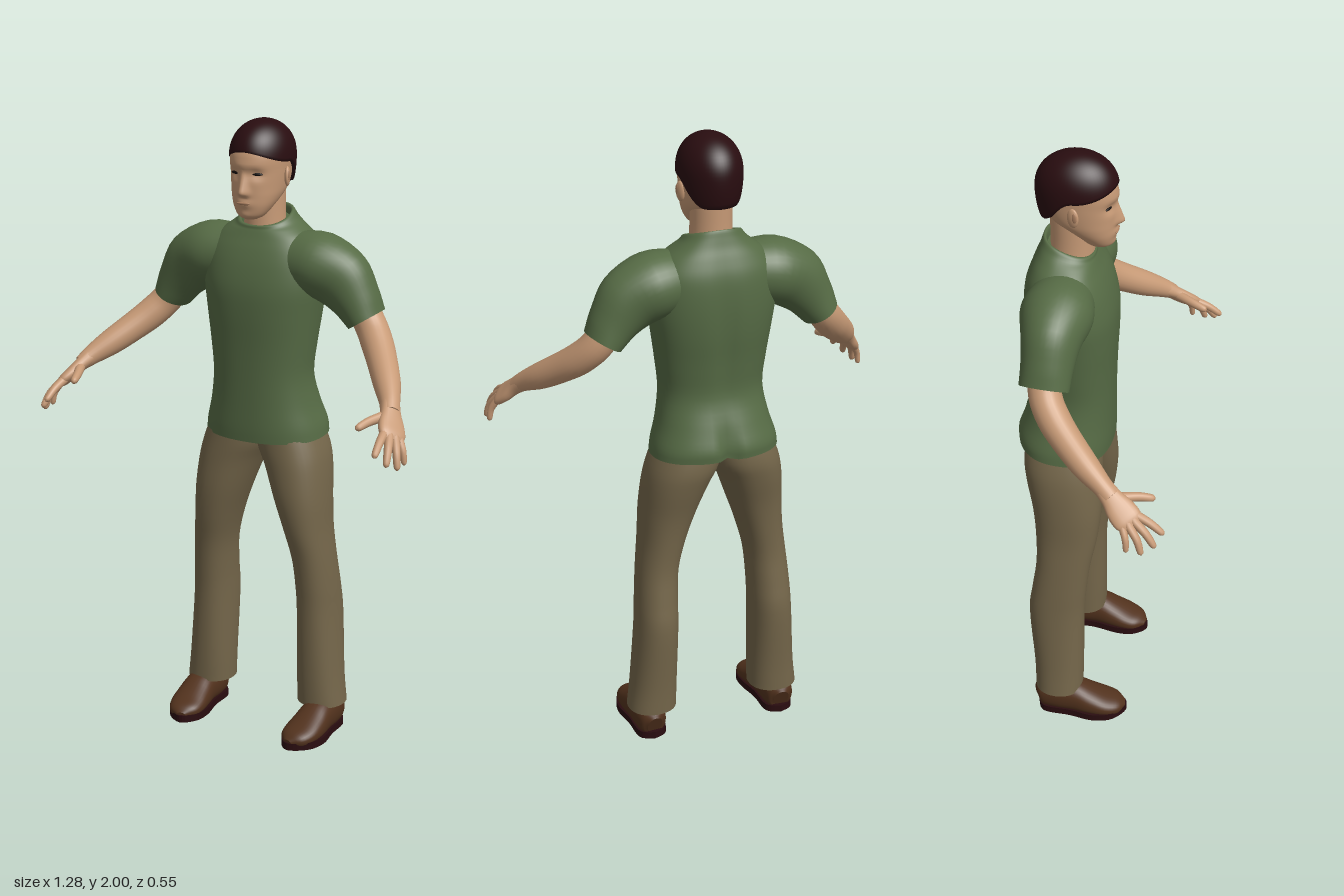
import * as THREE from 'three';

const V = (x, y, z) => new THREE.Vector3(x, y, z);
const paint = (name, color) => Object.assign(new THREE.MeshStandardMaterial({ color }), { name });
const bump = (d, width) => Math.exp(-((d / width) ** 2));

// Skin a smooth closed surface over rings { c, u, v } (centre and two half axes)
function loft(rings, { seg = 32, sub = 4, power = 2, warp } = {}) {
  const curves = ['c', 'u', 'v'].map(k =>
    new THREE.CatmullRomCurve3(rings.map(r => r[k]), false, 'catmullrom', 0.5));
  const rows = (rings.length - 1) * sub, pos = [], idx = [];
  const round = a => Math.sign(a) * Math.abs(a) ** (2 / power);
  const ring = (t, scale) => {
    const [c, u, v] = curves.map(k => k.getPoint(t));
    for (let j = 0; j < seg; j++) {
      const a = j / seg * Math.PI * 2;
      const p = c.clone().addScaledVector(u, round(Math.cos(a)) * scale)
        .addScaledVector(v, round(Math.sin(a)) * scale);
      if (warp) warp(p);
      pos.push(p.x, p.y, p.z);
    }
  };
  for (let i = 0; i <= rows; i++) ring(i / rows, 1);
  for (let i = 0; i < rows; i++) for (let j = 0; j < seg; j++) {
    const a = i * seg + j, b = i * seg + (j + 1) % seg;
    idx.push(a, b, a + seg, b, b + seg, a + seg);
  }
  // End caps have their own corners so the rims stay crisp
  for (const end of [0, 1]) {
    const base = pos.length / 3, c = curves[0].getPoint(end);
    ring(end, 1);
    if (warp) warp(c);
    pos.push(c.x, c.y, c.z);
    for (let j = 0; j < seg; j++) {
      const a = base + j, b = base + (j + 1) % seg;
      idx.push(base + seg, end ? a : b, end ? b : a);
    }
  }
  const g = new THREE.BufferGeometry();
  g.setAttribute('position', new THREE.Float32BufferAttribute(pos, 3));
  g.setIndex(idx);
  g.computeVertexNormals();
  return g;
}

// Level rings from bottom to top: [y, xMin, xMax, zFront, zBack, tilt]
const stack = (rows, opt) => loft(rows.map(([y, x0, x1, zf, zb, tilt = 0]) => {
  const rz = (zf - zb) / 2;
  return { c: V((x0 + x1) / 2, y, (zf + zb) / 2), u: V(0, tilt * rz, rz), v: V((x1 - x0) / 2, 0, 0) };
}), opt);
const body = (rows, opt) => stack(rows.map(([y, w, ...z]) => [y, -w, w, ...z]), opt);

// Rings across a path: [x, y, z, radius along ref, other radius]
function limb(pts, ref, opt) {
  const path = new THREE.CatmullRomCurve3(pts.map(p => V(p[0], p[1], p[2])), false, 'catmullrom', 0.5);
  return loft(pts.map(([x, y, z, ru, rv = ru], i) => {
    const t = path.getTangent(i / (pts.length - 1));
    const u = ref.clone().addScaledVector(t, -ref.dot(t)).normalize();
    const v = t.clone().cross(u);
    return { c: V(x, y, z), u: u.multiplyScalar(ru), v: v.multiplyScalar(rv) };
  }), opt);
}

function mirrored(geo) {
  const g = geo.clone().scale(-1, 1, 1);
  const n = g.attributes.position.count;
  const old = g.index ? Array.from(g.index.array) : Array.from({ length: n }, (_, i) => i);
  for (let i = 0; i < old.length; i += 3) [old[i], old[i + 1]] = [old[i + 1], old[i]];
  g.setIndex(old);
  return g;
}

const blob = (x, y, z, rx, ry, rz, yaw = 0) =>
  new THREE.SphereGeometry(1, 20, 14).scale(rx, ry, rz).rotateY(yaw).translate(x, y, z);

// Close-cropped hair: a dome whose lower edge drops from brow to nape
function hairCap() {
  const seg = 64, rows = 20, pos = [], idx = [];
  for (let i = 0; i <= rows + 1; i++) for (let j = 0; j < seg; j++) {
    const a = j / seg * Math.PI * 2, front = Math.cos(a);
    const edge = front > 0 ? 1.875 + 0.035 * front ** 2
      : 1.875 - 0.078 * THREE.MathUtils.smoothstep(-front, 0, 0.85);
    const y = 2 - (2 - edge) * Math.min(i / rows, 1) ** 1.6;
    const h = y > 1.885 ? (y - 1.885) / 0.115 : (1.885 - y) / 0.2;
    const r = Math.sqrt(Math.max(0, 1 - h ** (y > 1.885 ? 2.2 : 2))) * (i > rows ? 0.86 : 1);
    pos.push(0.097 * r * Math.sin(a), y, -0.092 + 0.126 * r * front);
  }
  for (let i = 0; i <= rows; i++) for (let j = 0; j < seg; j++) {
    const a = i * seg + j, b = i * seg + (j + 1) % seg;
    idx.push(a, a + seg, b, b, a + seg, b + seg);
  }
  const g = new THREE.BufferGeometry();
  g.setAttribute('position', new THREE.Float32BufferAttribute(pos, 3));
  g.setIndex(idx);
  g.computeVertexNormals();
  return g;
}

export function createModel() {
  const model = new THREE.Group();
  const skin = paint('skin', 0xc79a76), lip = paint('lips', 0xb08464), hair = paint('hair', 0x290d10);
  const shirt = paint('shirt green', 0x566b45), cloth = paint('trouser khaki', 0x74664a);
  const leather = paint('shoe brown', 0x52321d), rubber = paint('sole', 0x2a0d10), dark = paint('eye black', 0x120c0a);
  const add = (name, geo, mat) => {
    const m = new THREE.Mesh(geo, mat);
    m.name = name;
    model.add(m);
  };
  const pair = (name, geo, mat) => {
    add('left' + name, geo, mat);
    add('right' + name, mirrored(geo), mat);
  };

  // Shirt body with tilted neckline, spine groove and seat crease
  add('shirtBody', body([
    [1.0, 0.203, 0.02, -0.278, -0.07], [1.04, 0.197, 0.022, -0.278, -0.04], [1.11, 0.177, 0.022, -0.255],
    [1.2, 0.164, 0.023, -0.225], [1.3, 0.174, 0.026, -0.232], [1.4, 0.188, 0.031, -0.246],
    [1.48, 0.199, 0.03, -0.251], [1.55, 0.2, 0.016, -0.249], [1.6, 0.19, -0.002, -0.241],
    [1.64, 0.16, -0.02, -0.225, -0.04], [1.667, 0.125, -0.03, -0.21, -0.12], [1.685, 0.1, -0.034, -0.2, -0.25],
    [1.7, 0.086, -0.036, -0.192, -0.35], [1.698, 0.076, -0.044, -0.184, -0.35], [1.675, 0.073, -0.046, -0.182, -0.35],
  ], { seg: 56, power: 2.3, warp: p => {
    if (p.z > -0.16) return;
    p.z += 0.026 * bump(p.x, 0.022) * bump(p.y - 1.02, 0.08) + 0.01 * bump(p.x, 0.03) * bump(p.y - 1.4, 0.2);
  } }), shirt);
  pair('Sleeve', limb([
    [0.08, 1.565, -0.115, 0.09, 0.09], [0.19, 1.557, -0.118, 0.11, 0.103], [0.27, 1.517, -0.12, 0.09, 0.099],
    [0.318, 1.457, -0.122, 0.079, 0.077], [0.352, 1.402, -0.125, 0.076, 0.06],
  ], V(0, 0, 1), { seg: 36 }), shirt);

  // Trousers
  pair('TrouserLeg', stack([
    [0.095, 0.132, 0.291, -0.047, -0.204], [0.2, 0.13, 0.279, -0.045, -0.208], [0.4, 0.128, 0.264, -0.043, -0.224],
    [0.5, 0.126, 0.258, -0.036, -0.213], [0.6, 0.118, 0.249, -0.024, -0.2], [0.7, 0.093, 0.238, -0.005, -0.203],
    [0.8, 0.058, 0.233, 0.005, -0.215], [0.9, 0.02, 0.224, 0.003, -0.238], [0.97, -0.012, 0.208, 0, -0.248],
    [1.06, -0.02, 0.17, -0.005, -0.235],
  ], { seg: 40, power: 2.2 }), cloth);

  // Shoes: lofted upper over a flat sole
  pair('ShoeUpper', limb([
    [0.223, 0.05, -0.192, 0.025, 0.035], [0.224, 0.055, -0.18, 0.043, 0.05], [0.224, 0.06, -0.13, 0.052, 0.058],
    [0.224, 0.058, -0.07, 0.054, 0.056], [0.222, 0.045, -0.02, 0.059, 0.045], [0.217, 0.034, 0.03, 0.06, 0.033],
    [0.209, 0.027, 0.07, 0.047, 0.025], [0.203, 0.024, 0.095, 0.015, 0.009],
  ], V(1, 0, 0), { power: 2.3, warp: p => { p.y = Math.max(p.y, 0.012); } }), leather);
  const outline = new THREE.Shape(new THREE.SplineCurve([
    [0.223, -0.196], [0.268, -0.17], [0.275, -0.08], [0.286, 0.0], [0.265, 0.065], [0.205, 0.102],
    [0.162, 0.06], [0.156, 0.0], [0.172, -0.08], [0.178, -0.17], [0.223, -0.196],
  ].map(p => new THREE.Vector2(...p))).getPoints(60));
  pair('ShoeSole', new THREE.ExtrudeGeometry(outline, { depth: 0.024, bevelEnabled: false })
    .rotateX(Math.PI / 2).translate(0, 0.024, 0), rubber);

  // Bare arms, palms and fingers
  pair('Arm', limb([
    [0.32, 1.455, -0.13, 0.05], [0.37, 1.387, -0.117, 0.05], [0.41, 1.34, -0.085, 0.05], [0.45, 1.3, -0.04, 0.047],
    [0.5, 1.252, 0.025, 0.042], [0.537, 1.217, 0.08, 0.032], [0.558, 1.193, 0.115, 0.029, 0.024],
  ], V(0.5, -0.3, -0.7), { seg: 24 }), skin);
  const across = V(0.5, -0.3, -0.75);
  pair('Palm', limb([
    [0.54, 1.214, 0.085, 0.03, 0.027], [0.558, 1.19, 0.115, 0.033, 0.022], [0.575, 1.165, 0.143, 0.043, 0.02],
    [0.592, 1.143, 0.17, 0.044, 0.017], [0.602, 1.13, 0.185, 0.03, 0.008],
  ], across, { seg: 24, power: 2.4 }), skin);
  const fingers = [
    ['Thumb', [0.55, 1.187, 0.13], [0.523, 1.178, 0.185], [0.505, 1.165, 0.235], 0.014],
    ['IndexFinger', [0.575, 1.153, 0.187], [0.581, 1.132, 0.232], [0.586, 1.1, 0.275], 0.0125],
    ['MiddleFinger', [0.588, 1.146, 0.18], [0.605, 1.113, 0.222], [0.615, 1.07, 0.254], 0.0125],
    ['RingFinger', [0.6, 1.139, 0.167], [0.622, 1.1, 0.2], [0.634, 1.053, 0.217], 0.012],
    ['LittleFinger', [0.606, 1.136, 0.153], [0.627, 1.1, 0.168], [0.635, 1.057, 0.172], 0.0105],
  ];
  for (const [name, a, b, c, r] of fingers) {
    const mix = t => b.map((n, i) => n + (c[i] - n) * t);
    pair(name, limb([[...a, r * 1.15], [...b, r], [...mix(0.8), r * 0.8], [...c, r * 0.2]], across, { seg: 12 }), skin);
  }

  // Neck and head, with nose, brow, sockets and mouth shaped by soft bumps
  add('neck', body([[1.62, 0.07, -0.04, -0.18], [1.7, 0.064, -0.04, -0.173], [1.8, 0.064, -0.04, -0.175]]), skin);
  add('head', body([
    [1.7, 0.02, 0.002, -0.045], [1.712, 0.042, 0.017, -0.065], [1.74, 0.061, 0.024, -0.1], [1.77, 0.074, 0.026, -0.145],
    [1.8, 0.081, 0.027, -0.18], [1.85, 0.087, 0.028, -0.2], [1.9, 0.089, 0.026, -0.204], [1.95, 0.075, -0.004, -0.18],
    [1.98, 0.04, -0.05, -0.13],
  ], { seg: 96, sub: 6, power: 2.15, warp: p => {
    if (p.z < -0.04) return;
    const x = Math.abs(p.x), nose = Math.min(1, Math.max(0, (1.85 - p.y) / 0.06));
    p.z += 0.024 * bump(x, 0.009 + 0.007 * nose) * nose * THREE.MathUtils.smoothstep(p.y, 1.768, 1.785)
      - 0.01 * bump(x - 0.038, 0.022) * bump(p.y - 1.842, 0.016)
      + 0.004 * bump(x, 0.06) * bump(p.y - 1.868, 0.012)
      + 0.006 * bump(x, 0.026) * bump(p.y - 1.752, 0.014)
      + 0.004 * bump(x, 0.02) * bump(p.y - 1.715, 0.012);
  } }), skin);
  add('hair', hairCap(), hair);
  pair('Eye', blob(0.039, 1.843, 0.0095, 0.017, 0.0045, 0.0045, 0.35), dark);
  add('mouth', blob(0, 1.753, 0.0285, 0.024, 0.005, 0.0045), lip);
  pair('Ear', blob(0.089, 1.828, -0.088, 0.009, 0.031, 0.019, 0.35), skin);
  pair('EarHollow', blob(0.0965, 1.832, -0.083, 0.004, 0.017, 0.009, 0.35), lip);

  return model;
}
